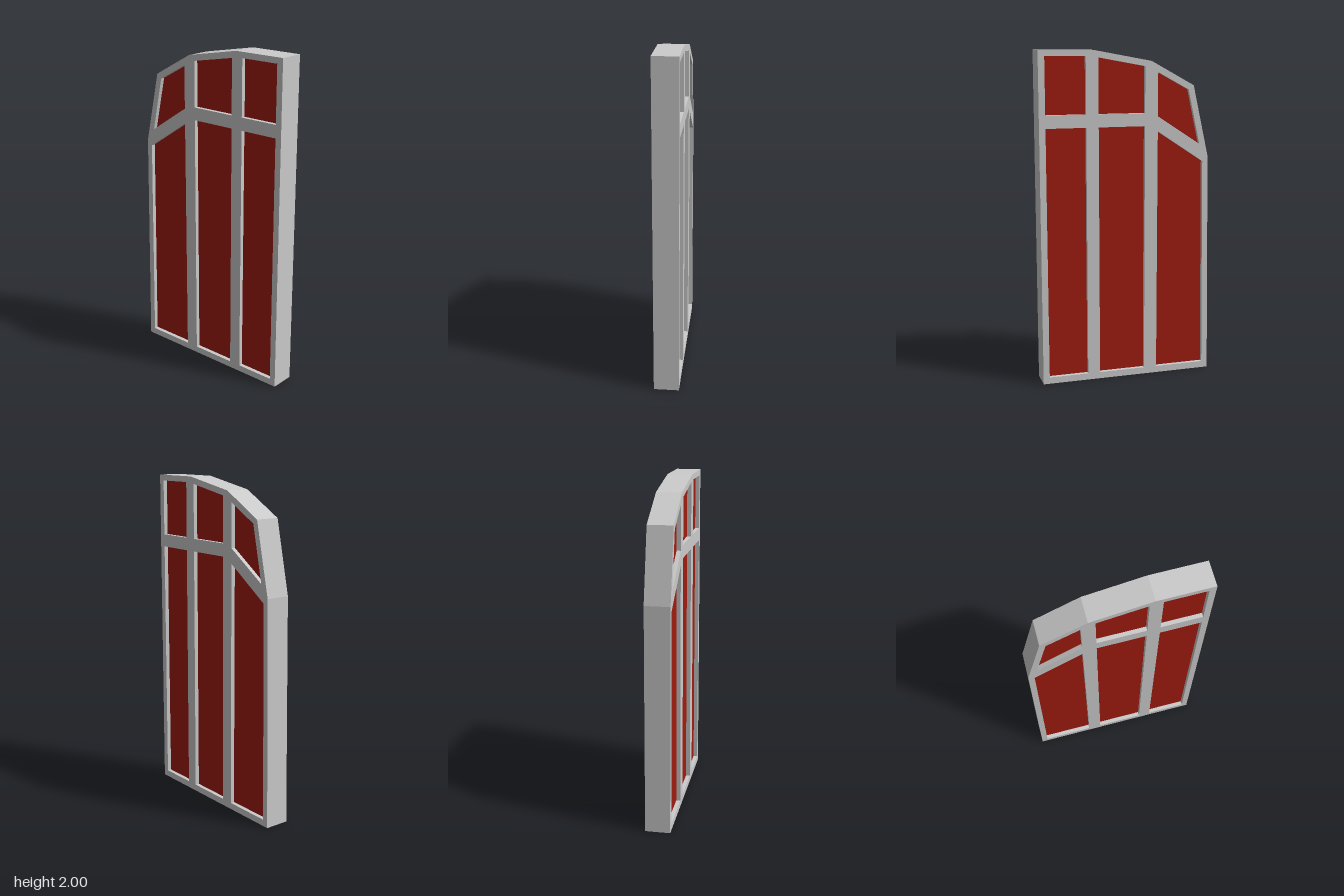
import * as THREE from 'three';

const FRAME_DEPTH = 0.15;
const PANE_DEPTH = 0.1;

const toPoints = (pairs) => pairs.map(([x, y]) => new THREE.Vector2(x, y));

// Flat shape given thickness, centred on z = 0
function slab(name, shape, depth, material) {
  const geometry = new THREE.ExtrudeGeometry(shape, { depth, bevelEnabled: false });
  geometry.translate(0, 0, -depth / 2);
  const mesh = new THREE.Mesh(geometry, material);
  mesh.name = name;
  return mesh;
}

export function createModel() {
  const group = new THREE.Group();
  group.name = 'archedWindowHalf';
  const frameMaterial = new THREE.MeshStandardMaterial({ color: 0xcccccc, flatShading: true });
  const paneMaterial = new THREE.MeshStandardMaterial({ color: 0xa01c10, flatShading: true });

  // Outer edge of the half arch
  const outline = [
    [-0.533, 0], [0.53, 0], [0.53, 2], [0.205, 2],
    [-0.15, 1.935], [-0.415, 1.79], [-0.512, 1.36],
  ];

  // Openings between the bars, counter-clockwise from bottom left
  const openings = {
    lowerRightPane: [[-0.495, 0.04], [-0.19, 0.04], [-0.19, 1.52], [-0.478, 1.33]],
    lowerMiddlePane: [[-0.11, 0.04], [0.175, 0.04], [0.175, 1.553], [-0.11, 1.553]],
    lowerLeftPane: [[0.25, 0.04], [0.492, 0.04], [0.492, 1.553], [0.25, 1.553]],
    upperRightPane: [[-0.456, 1.437], [-0.19, 1.61], [-0.19, 1.87], [-0.383, 1.765]],
    upperMiddlePane: [[-0.11, 1.63], [0.175, 1.63], [0.175, 1.957], [-0.11, 1.905]],
    upperLeftPane: [[0.25, 1.63], [0.492, 1.63], [0.492, 1.965], [0.25, 1.965]],
  };

  // Frame with one hole per opening
  const frameShape = new THREE.Shape(toPoints(outline));
  for (const corners of Object.values(openings)) {
    frameShape.holes.push(new THREE.Path(toPoints(corners)));
  }
  group.add(slab('frame', frameShape, FRAME_DEPTH, frameMaterial));

  // Panes recessed on both faces
  for (const [name, corners] of Object.entries(openings)) {
    group.add(slab(name, new THREE.Shape(toPoints(corners)), PANE_DEPTH, paneMaterial));
  }

  return group;
}
